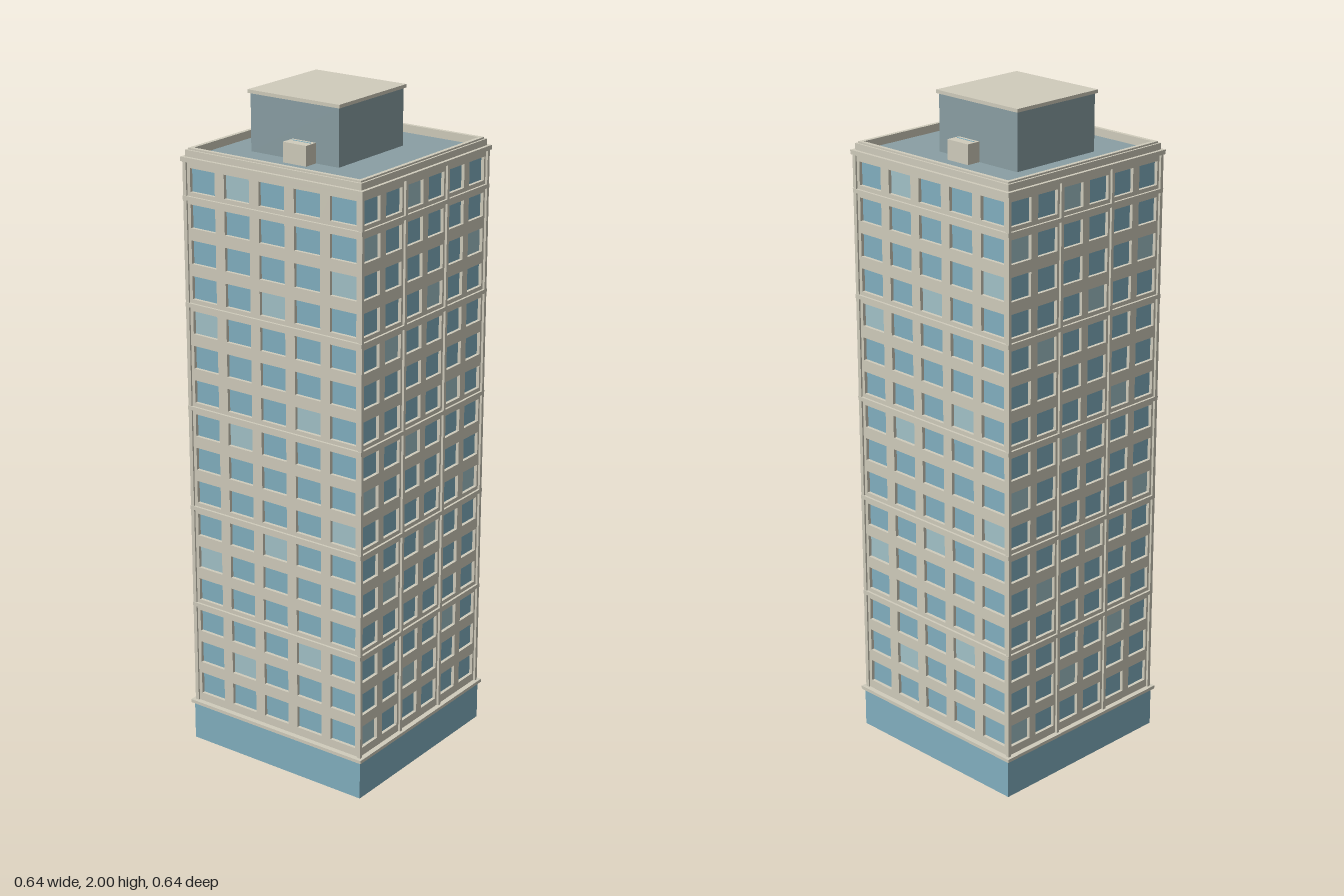
import * as THREE from 'three';
import { mergeGeometries } from 'three/addons/utils/BufferGeometryUtils.js';

const paint = (color) => new THREE.MeshStandardMaterial({ color });
const STONE = paint(0xd0ccbc), GLASS = paint(0x82b0c0), PALE = paint(0xa2c2c8), SLATE = paint(0x8a9fa4);

const HALF = 0.302;                 // half width of the tower walls
const Y0 = 0.125, Y1 = 1.815;       // bottom and top of the walls
const FLOORS = 16, PITCH = 0.1045, FIRST = 0.19, WIN_H = 0.069;
const DEPTH = 0.012;                // window recess

function mesh(name, geometry, material) {
  const m = new THREE.Mesh(geometry, material);
  m.name = name;
  return m;
}

// Box given by its size, its centre in x and z, and its bottom and top
function block(name, w, d, y0, y1, material, x = 0, z = 0) {
  const m = mesh(name, new THREE.BoxGeometry(w, y1 - y0, d), material);
  m.position.set(x, (y0 + y1) / 2, z);
  return m;
}

function rect(target, x0, x1, y0, y1) {
  target.moveTo(x0, y0);
  target.lineTo(x1, y0);
  target.lineTo(x1, y1);
  target.lineTo(x0, y1);
  target.closePath();
  return target;
}

// Square ring lying flat, between two half widths
function ring(name, outer, inner, y0, y1, material) {
  const shape = rect(new THREE.Shape(), -outer, outer, -outer, outer);
  shape.holes.push(rect(new THREE.Path(), -inner, inner, -inner, inner));
  const g = new THREE.ExtrudeGeometry(shape, { depth: y1 - y0, bevelEnabled: false });
  g.rotateX(-Math.PI / 2).translate(0, y0, 0);
  return mesh(name, g, material);
}

// One wall with a grid of recessed windows, facing +z
function facade(name, half, cols, step, winW, tint) {
  const group = new THREE.Group();
  group.name = name;
  const wall = rect(new THREE.Shape(), -half, half, Y0, Y1);
  const panes = [[], []];
  for (let f = 0; f < FLOORS; f++) {
    for (let c = 0; c < cols; c++) {
      const x = (c - (cols - 1) / 2) * step, y = FIRST + f * PITCH;
      wall.holes.push(rect(new THREE.Path(), x - winW / 2, x + winW / 2, y - WIN_H / 2, y + WIN_H / 2));
      const pale = (c + 2 * (FLOORS - 1 - f)) % 7 === tint ? 1 : 0;
      panes[pale].push(new THREE.PlaneGeometry(winW, WIN_H).translate(x, y, HALF - DEPTH + 0.002));
    }
  }
  const g = new THREE.ExtrudeGeometry(wall, { depth: DEPTH, bevelEnabled: false });
  group.add(mesh('wall', g.translate(0, 0, HALF - DEPTH), STONE));
  group.add(mesh('windows', mergeGeometries(panes[0]), GLASS));
  group.add(mesh('paleWindows', mergeGeometries(panes[1]), PALE));
  return group;
}

export function createModel() {
  const tower = new THREE.Group();
  tower.name = 'officeTower';

  // Glazed base, hollow and open underneath
  tower.add(ring('baseGlazing', 0.31, 0.306, 0, 0.12, GLASS));
  tower.add(ring('baseLining', 0.306, 0.302, 0, 0.12, STONE));
  tower.add(block('baseCornice', 0.636, 0.636, 0.12, 0.13, STONE));

  // Core and the four walls
  const core = 2 * (HALF - DEPTH) - 0.002;
  tower.add(block('core', core, core, Y0, Y1, STONE));
  for (const [i, side] of ['front', 'left', 'back', 'right'].entries()) {
    const wide = i % 2 === 0;
    const wall = wide
      ? facade(side + 'Facade', HALF, 6, 0.1008, 0.075, 2)
      : facade(side + 'Facade', HALF - DEPTH, 5, 0.1212, 0.088, 1);
    // Slim vertical fins between pairs of windows
    if (wide) {
      for (const x of [-0.302, -0.1008, 0.1008, 0.302]) {
        wall.add(block('fin', 0.01, 0.012, Y0, Y1, STONE, x, HALF + 0.001));
      }
    }
    wall.rotation.y = i * Math.PI / 2;
    tower.add(wall);
  }

  // Thin belt courses every third floor
  for (let f = 3; f < FLOORS; f += 3) {
    const y = FIRST + (f - 0.5) * PITCH;
    tower.add(ring('beltCourse', 0.309, 0.297, y - 0.006, y + 0.006, STONE));
  }

  // Roof deck, cornice and stepped parapet
  tower.add(block('roofDeck', 0.58, 0.58, 1.805, 1.824, SLATE));
  tower.add(ring('topCornice', 0.312, 0.285, 1.81, 1.823, STONE));
  tower.add(ring('parapet', 0.302, 0.284, 1.823, 1.842, STONE));
  tower.add(ring('parapetCap', 0.296, 0.284, 1.842, 1.847, STONE));

  // Rooftop plant room, set towards the back
  const pz = -0.035;
  tower.add(block('plantRoom', 0.304, 0.304, 1.824, 1.99, SLATE, 0, pz));
  tower.add(block('plantRoomRoof', 0.316, 0.316, 1.99, 2, STONE, 0, pz));

  // Small vent housings on both sides of the plant room
  for (const s of [-1, 1]) {
    tower.add(block('ventHousing', 0.046, 0.08, 1.824, 1.882, STONE, s * 0.173, -0.001));
    tower.add(block('ventSlot', 0.004, 0.066, 1.88, 1.883, GLASS, s * 0.165, -0.001));
  }
  return tower;
}
